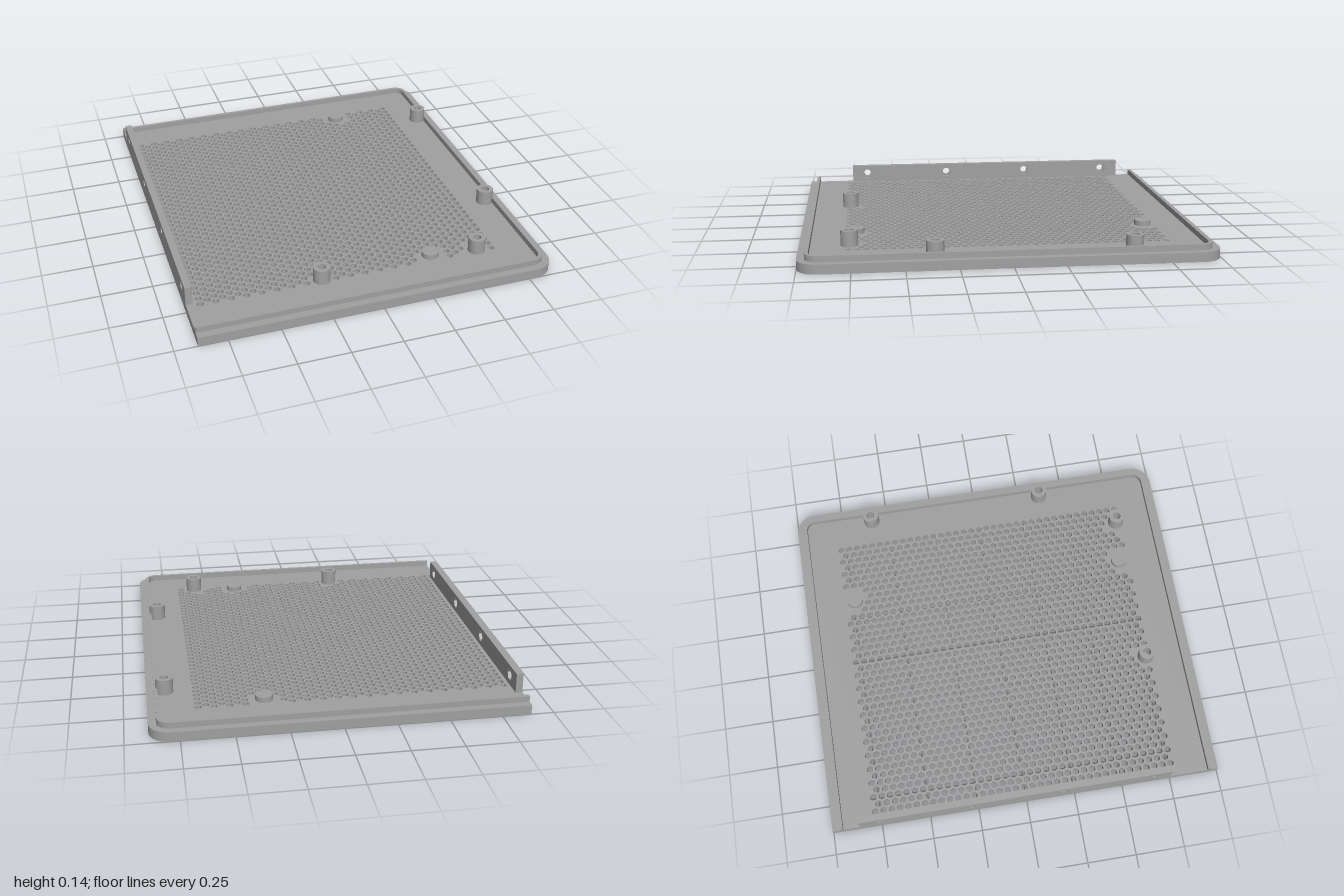
import * as THREE from 'three';
import { toCreasedNormals } from 'three/addons/utils/BufferGeometryUtils.js';

const FLOOR = 0.047, LEFT = -0.89, RIGHT = 0.89, HALF = 1, CORNER = 0.1;
const BOSSES = [[0.802, -0.585], [0.802, 0.36], [-0.23, 0.758], [0.575, 0.758]];
const PADS = [[0.34, -0.735], [0.34, 0.728]];

const grey = new THREE.MeshStandardMaterial({ color: 0xa0a0a0 });
grey.name = 'grey';

function part(name, geometry) {
  const mesh = new THREE.Mesh(toCreasedNormals(geometry, 0.6), grey);
  mesh.name = name;
  return mesh;
}

const extrude = (shape, depth) =>
  new THREE.ExtrudeGeometry(shape, { depth, bevelEnabled: false, curveSegments: 12 });

// Lays a plan drawing (x, -z) flat and extrudes it upwards from height y
const slab = (shape, y, height) => extrude(shape, height).rotateX(-Math.PI / 2).translate(0, y, 0);

function hexagon(x, y, r) {
  const points = [];
  for (let i = 0; i < 6; i++) {
    const a = i * Math.PI / 3;
    points.push(new THREE.Vector2(x + r * Math.cos(a), y + r * Math.sin(a)));
  }
  return new THREE.Path(points);
}

function circle(x, y, r, Type = THREE.Path) {
  const c = new Type();
  c.absarc(x, y, r, 0, Math.PI * 2, false);
  return c;
}

// Outline from the lower left, round both right corners, to the upper left
function outline(shape, inset) {
  const r = CORNER - inset, x = RIGHT - inset, y = HALF - inset;
  shape.moveTo(LEFT, -y);
  shape.lineTo(x - r, -y);
  shape.absarc(x - r, -y + r, r, -Math.PI / 2, 0, false);
  shape.absarc(x - r, y - r, r, 0, Math.PI / 2, false);
  shape.lineTo(LEFT, y);
  return shape;
}

// Base plate with a honeycomb of vents, left solid around the bosses and pads
function basePlate() {
  const shape = outline(new THREE.Shape(), 0);
  const dx = 0.0369, dz = 0.0427;
  for (let col = 0; col <= 40; col++) {
    const odd = col % 2;
    for (let row = 0; row <= 36 - odd; row++) {
      const x = -0.823 + col * dx;
      const z = -0.773 + (row + odd / 2) * dz;
      const blocked = [...BOSSES, ...PADS].some(([px, pz]) => Math.hypot(x - px, z - pz) < 0.07);
      if (!blocked) shape.holes.push(hexagon(x, -z, 0.0185));
    }
  }
  return slab(shape, 0, FLOOR);
}

// Raised lip on three sides, open on the left
function lip() {
  const shape = outline(new THREE.Shape(), 0.037);
  const inset = 0.055, r = CORNER - inset, x = RIGHT - inset, y = HALF - inset;
  shape.lineTo(LEFT, y);
  shape.lineTo(x - r, y);
  shape.absarc(x - r, y - r, r, Math.PI / 2, 0, true);
  shape.absarc(x - r, -y + r, r, 0, -Math.PI / 2, true);
  shape.lineTo(LEFT, -y);
  return slab(shape, FLOOR, 0.029);
}

// One layer of the side wall, drawn in (-z, y) and extruded along x
function wallLayer(x, thickness, makeHole) {
  const shape = new THREE.Shape();
  shape.moveTo(-0.75, FLOOR);
  shape.lineTo(0.86, FLOOR);
  shape.lineTo(0.86, 0.143);
  shape.lineTo(-0.75, 0.143);
  for (const z of [0.663, 0.188, -0.287, -0.762]) shape.holes.push(makeHole(-z, 0.098));
  return extrude(shape, thickness).rotateY(Math.PI / 2).translate(x, 0, 0);
}

export function createModel() {
  const model = new THREE.Group();
  model.name = 'ventedCover';
  model.add(part('basePlate', basePlate()), part('lip', lip()));

  // Side wall: round screw holes outside, hexagonal nut recesses inside
  const wall = new THREE.Group();
  wall.name = 'sideWall';
  wall.add(
    part('wallOuter', wallLayer(LEFT, 0.017, (u, y) => circle(u, y, 0.019))),
    part('wallInner', wallLayer(LEFT + 0.017, 0.017, (u, y) => hexagon(u, y, 0.031))),
  );
  model.add(wall);

  // Hollow screw bosses
  for (const [x, z] of BOSSES) {
    const ring = circle(x, -z, 0.042, THREE.Shape);
    ring.holes.push(circle(x, -z, 0.021));
    model.add(part('screwBoss', slab(ring, FLOOR, 0.077)));
  }

  // Low solid pads
  for (const [x, z] of PADS) {
    model.add(part('pad', slab(circle(x, -z, 0.042, THREE.Shape), FLOOR, 0.026)));
  }
  return model;
}
